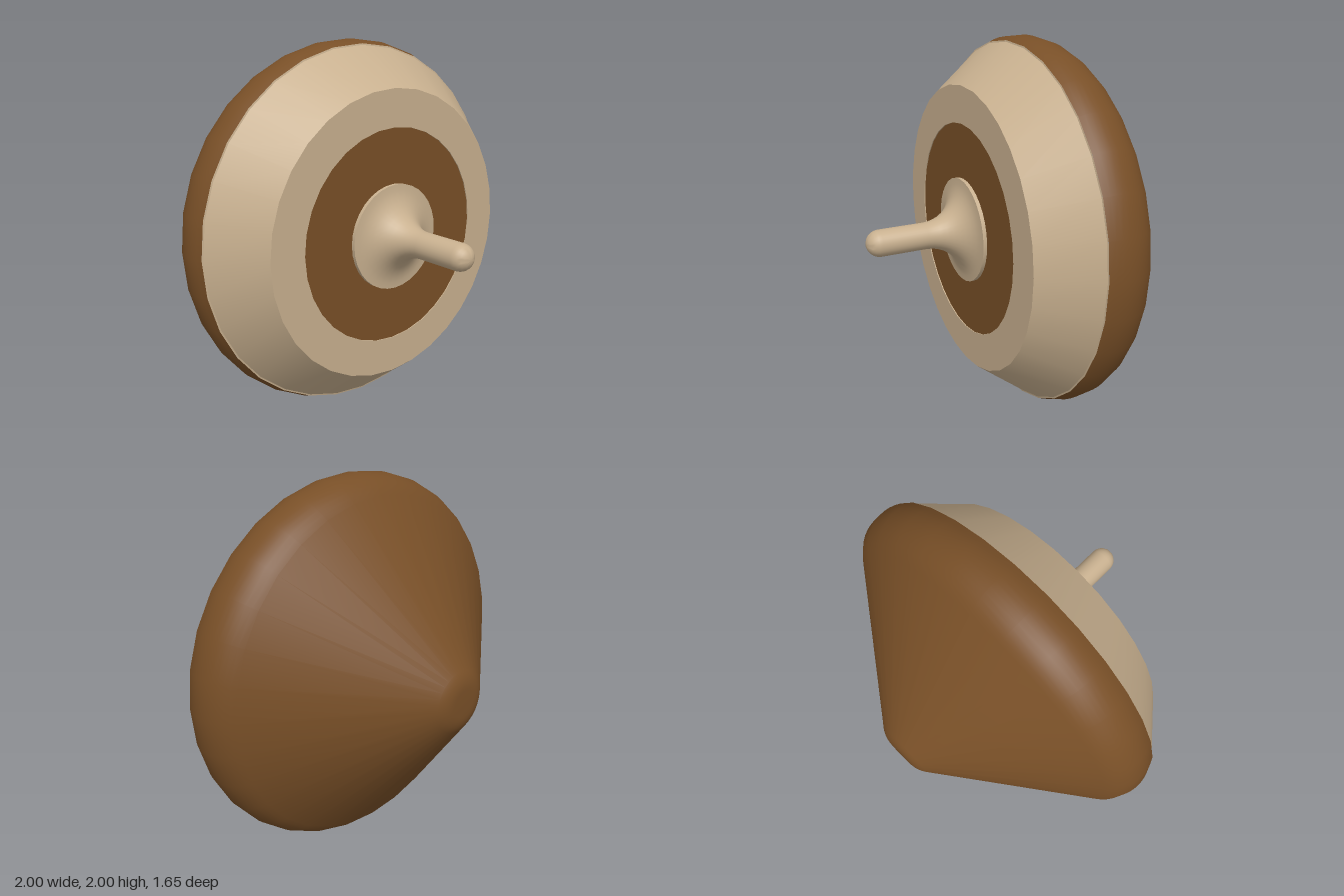
import * as THREE from 'three';
import { toCreasedNormals } from 'three/addons/utils/BufferGeometryUtils.js';

const SIDES = 32;
const brown = new THREE.MeshStandardMaterial({ color: 0x784f27 });
const tan = new THREE.MeshStandardMaterial({ color: 0xc8b08f });

// Points [radius, height] along an arc, angles in degrees
function arc(r, h, radius, from, to, steps) {
  return Array.from({ length: steps + 1 }, (_, i) => {
    const a = THREE.MathUtils.degToRad(from + ((to - from) * i) / steps);
    return [Math.max(0, r + radius * Math.cos(a)), h + radius * Math.sin(a)];
  });
}

// Turned part whose axis points to the front (+z)
function turned(name, profile, material) {
  const points = profile.map(([r, h]) => new THREE.Vector2(r, h));
  const geometry = new THREE.LatheGeometry(points, SIDES).rotateX(Math.PI / 2);
  const mesh = new THREE.Mesh(toCreasedNormals(geometry, 0.55), material);
  mesh.name = name;
  return mesh;
}

export function createModel() {
  const top = new THREE.Group();
  top.name = 'spinningTop';

  // Cone with a blunt tip and a rounded rim
  top.add(turned('coneBody', [
    [0, -0.825],
    ...arc(0.07, -0.67, 0.155, -90, -54.5, 5),
    ...arc(0.78, -0.07, 0.22, -54.5, 27, 10),
  ], brown));

  // Bevelled shoulder with a flat front and a shallow recess
  top.add(turned('shoulderRing', [
    [0.976, 0.03], [0.968, 0.032], [0.765, 0.29], [0.57, 0.29], [0.57, 0.283],
  ], tan));

  // Disc inset in the shoulder
  top.add(turned('insetDisc', [[0.57, 0.285], [0, 0.285]], brown));

  // Flared handle with a domed end
  top.add(turned('handle', [
    [0.28, 0.285],
    ...arc(0.28, 0.515, 0.21, -90, -180, 10),
    ...arc(0, 0.755, 0.07, 0, 90, 6),
  ], tan));

  top.position.y = 1;
  const model = new THREE.Group();
  model.add(top);
  return model;
}
